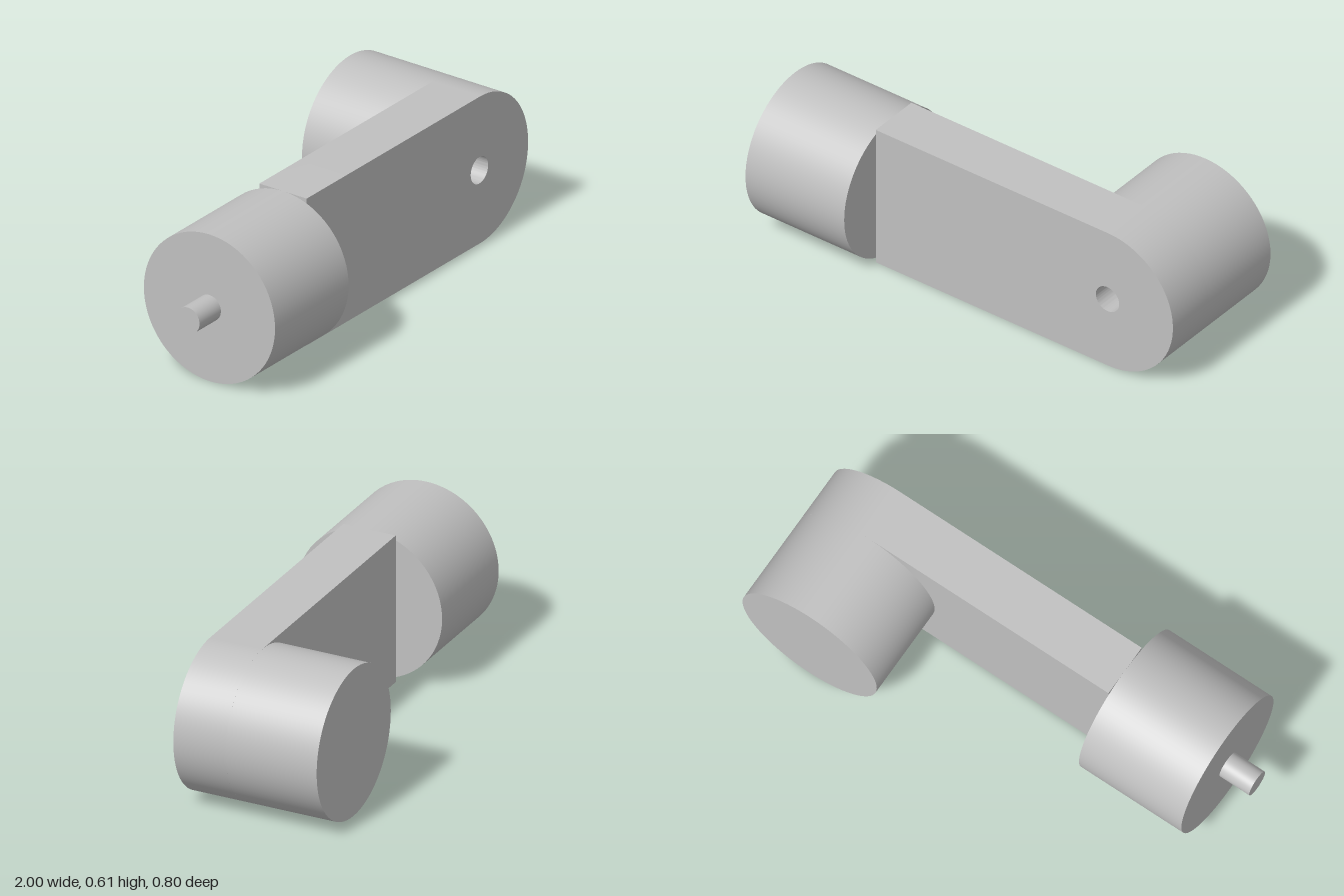
import * as THREE from 'three';
import { toCreasedNormals } from 'three/addons/utils/BufferGeometryUtils.js';

const R = 0.305;        // radius shared by both housings and the arm's round end
const PIVOT_X = 0.695;  // axis of the rear housing
const BACK = -0.017, FRONT = 0.203; // arm thickness in z
const MID_Z = (BACK + FRONT) / 2;

export function createModel() {
  const model = new THREE.Group();
  const grey = new THREE.MeshStandardMaterial({ color: 0xc0c0c0 });
  grey.name = 'machined grey';

  const add = (name, geometry) => {
    const mesh = new THREE.Mesh(geometry, grey);
    mesh.name = name;
    model.add(mesh);
  };

  // cylinder lying along x, from x0 to x1
  const alongX = (r, x0, x1) =>
    new THREE.CylinderGeometry(r, r, x1 - x0, 72)
      .rotateZ(-Math.PI / 2)
      .translate((x0 + x1) / 2, R, MID_Z);

  add('sideHousing', alongX(R, -0.865, -0.4));
  add('driveShaft', alongX(0.053, -1, -0.865));

  // flat arm: square at the side housing, round at the pivot, with a bored hole
  const outline = new THREE.Shape();
  outline.moveTo(-0.4, 0);
  outline.lineTo(PIVOT_X, 0);
  outline.absarc(PIVOT_X, R, R, -Math.PI / 2, Math.PI / 2, false);
  outline.lineTo(-0.4, 2 * R);
  outline.closePath();
  const bore = new THREE.Path();
  bore.absarc(PIVOT_X - 0.003, R, 0.055, 0, Math.PI * 2, true);
  outline.holes.push(bore);
  const arm = new THREE.ExtrudeGeometry(outline, {
    depth: FRONT - BACK, bevelEnabled: false, curveSegments: 36,
  }).translate(0, 0, BACK);
  add('arm', toCreasedNormals(arm, 0.6));

  // housing behind the pivot; its front face closes the bore
  const rear = new THREE.CylinderGeometry(R, R, BACK + 0.4, 72)
    .rotateX(Math.PI / 2)
    .translate(PIVOT_X, R, (BACK - 0.4) / 2);
  add('rearHousing', rear);

  return model;
}
